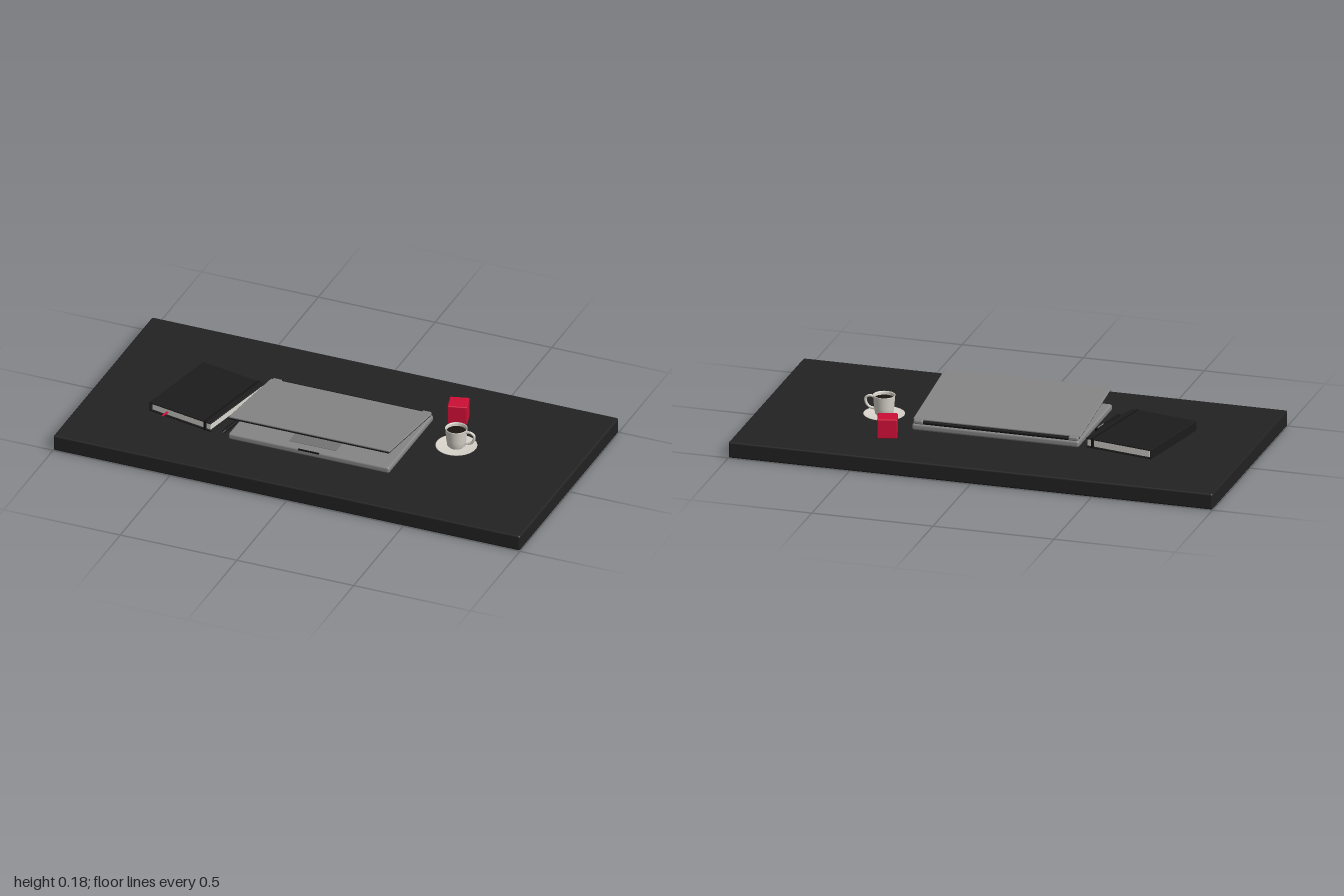
import * as THREE from 'three';
import { RoundedBoxGeometry } from 'three/addons/geometries/RoundedBoxGeometry.js';

const mat = (name, color, side = THREE.FrontSide) => {
  const m = new THREE.MeshStandardMaterial({ color, side });
  m.name = name;
  return m;
};

export function createModel() {
  const root = new THREE.Group();
  root.name = 'deskScene';
  const desk = mat('desk charcoal', 0x222222);
  const black = mat('black', 0x141414);
  const metal = mat('aluminium', 0x858585);
  const padGrey = mat('trackpad grey', 0x747474);
  const red = mat('red', 0xcc0f35);
  const ceramic = mat('ceramic', 0xd9d5cc, THREE.DoubleSide);
  const paper = mat('paper', 0xd8d6d0);
  const coffee = mat('coffee', 0x1c1512);
  const cover = mat('notebook cover', 0x1c1c1c);

  const group = (name, parent, x, y, z) => {
    const g = new THREE.Group();
    g.name = name;
    g.position.set(x, y, z);
    parent.add(g);
    return g;
  };
  const add = (name, geo, m, parent, x = 0, y = 0, z = 0) => {
    const mesh = new THREE.Mesh(geo, m);
    mesh.name = name;
    mesh.position.set(x, y, z);
    parent.add(mesh);
    return mesh;
  };
  const box = (w, h, d) => new THREE.BoxGeometry(w, h, d);
  const round = (w, h, d, r) => new RoundedBoxGeometry(w, h, d, 3, r);

  const top = 0.067;
  add('deskTop', round(2, top, 1, 0.008), desk, root, 0, top / 2, 0);

  // Laptop base with keyboard and trackpad
  const laptop = group('laptop', root, -0.003, 0, 0);
  add('laptopBase', round(0.69, 0.027, 0.45, 0.009), metal, laptop, 0, 0.0895, 0.045);
  add('frontNotch', box(0.09, 0.006, 0.004), black, laptop, 0, 0.099, 0.269);
  add('trackpad', box(0.2, 0.002, 0.13), padGrey, laptop, 0, 0.1035, 0.165);
  add('keyboardWell', box(0.6, 0.002, 0.2), black, laptop, 0, 0.1033, -0.03);
  for (let r = 0; r < 5; r++) {
    for (let c = 0; c < 14; c++) {
      if (r === 4 && c > 3 && c < 10) continue;
      add('key', box(0.036, 0.004, 0.032), black, laptop, (c - 6.5) * 0.042, 0.106, -0.106 + r * 0.038);
    }
  }
  add('spaceBar', box(0.246, 0.004, 0.032), black, laptop, 0, 0.106, 0.046);
  for (const x of [-0.23, 0.23])
    for (const z of [-0.12, 0.21])
      add('foot', new THREE.CylinderGeometry(0.022, 0.02, 0.011, 20), black, laptop, x, 0.0725, z);

  // Hinge bar and its end caps
  const hinge = add('hinge', new THREE.CylinderGeometry(0.008, 0.008, 0.6, 16), black, laptop, 0, 0.108, -0.168);
  hinge.rotation.z = Math.PI / 2;
  for (const s of [-1, 1])
    add('hingeCap', round(0.04, 0.018, 0.02, 0.006), metal, laptop, s * 0.32, 0.109, -0.166);

  // Half-closed lid, with the screen on its underside
  const lid = group('lid', laptop, 0, 0.143, 0.051);
  lid.rotation.x = -0.137;
  add('lidShell', round(0.69, 0.009, 0.428, 0.004), metal, lid, 0, 0.002, 0);
  add('screenBezel', round(0.684, 0.007, 0.426, 0.003), black, lid, 0, -0.004, 0.001);
  for (let i = 0; i < 7; i++) {
    let x = -0.28;
    for (let j = 0; j < 2 + (i * 5) % 4; j++) {
      const w = 0.025 + 0.012 * ((i + j * 2) % 3);
      add('screenLine', box(w, 0.001, 0.004), padGrey, lid, x + w / 2, -0.0078, -0.07 + i * 0.018);
      x += w + 0.02;
    }
  }
  add('screenAccent', box(0.06, 0.001, 0.03), red, lid, 0.22, -0.0078, -0.11);

  // Notebook with pages, elastic strap and ribbon
  const book = group('notebook', root, -0.545, top, 0.018);
  book.rotation.y = -0.2;
  add('backCover', round(0.293, 0.006, 0.377, 0.002), cover, book, 0, 0.003, 0);
  add('pages', box(0.278, 0.028, 0.363), paper, book, 0.003, 0.02, 0);
  add('spine', round(0.006, 0.038, 0.377, 0.002), cover, book, -0.1435, 0.02, 0);
  add('frontCover', round(0.293, 0.006, 0.377, 0.002), cover, book, 0, 0.037, 0);
  add('elasticStrap', box(0.009, 0.042, 0.38), black, book, 0.118, 0.02, 0);
  add('ribbon', box(0.009, 0.003, 0.05), red, book, -0.064, 0.018, 0.193);

  // Pen lying between the notebook and the laptop
  const pen = group('pen', root, -0.372, top + 0.008, 0.135);
  pen.rotation.y = -0.18;
  const stick = (name, r1, r2, len, z) => {
    add(name, new THREE.CylinderGeometry(r1, r2, len, 16), black, pen, 0, 0, z).rotation.x = Math.PI / 2;
  };
  stick('penBarrel', 0.007, 0.007, 0.18, -0.01);
  stick('penTip', 0.0015, 0.007, 0.025, 0.0925);
  add('penClip', box(0.003, 0.003, 0.05), metal, pen, 0, 0.008, -0.065);

  // Red cube
  add('redCube', round(0.079, 0.08, 0.079, 0.004), red, root, 0.423, top + 0.04, -0.241).rotation.y = 0.27;

  // Cup, saucer and coffee
  const cup = group('coffeeCup', root, 0.5, top, -0.037);
  const lathe = (name, pts) =>
    add(name, new THREE.LatheGeometry(pts.map(p => new THREE.Vector2(...p)), 40), ceramic, cup);
  lathe('saucer', [[0, 0.001], [0.045, 0.001], [0.055, 0.004], [0.081, 0.01], [0.083, 0.012],
    [0.08, 0.013], [0.052, 0.008], [0, 0.007]]);
  lathe('cupBody', [[0, 0.008], [0.03, 0.008], [0.036, 0.014], [0.04, 0.04], [0.044, 0.088], [0.045, 0.09],
    [0.042, 0.09], [0.04, 0.085], [0.036, 0.04], [0.031, 0.016], [0, 0.014]]);
  add('coffee', new THREE.CircleGeometry(0.0395, 40), coffee, cup, 0, 0.076, 0).rotation.x = -Math.PI / 2;
  const loop = new THREE.CatmullRomCurve3([[0.041, 0.078], [0.06, 0.081], [0.076, 0.07], [0.073, 0.047],
    [0.058, 0.033], [0.038, 0.029]].map(([x, y]) => new THREE.Vector3(x, y, 0)));
  add('cupHandle', new THREE.TubeGeometry(loop, 28, 0.0055, 10), ceramic, cup);

  return root;
}
